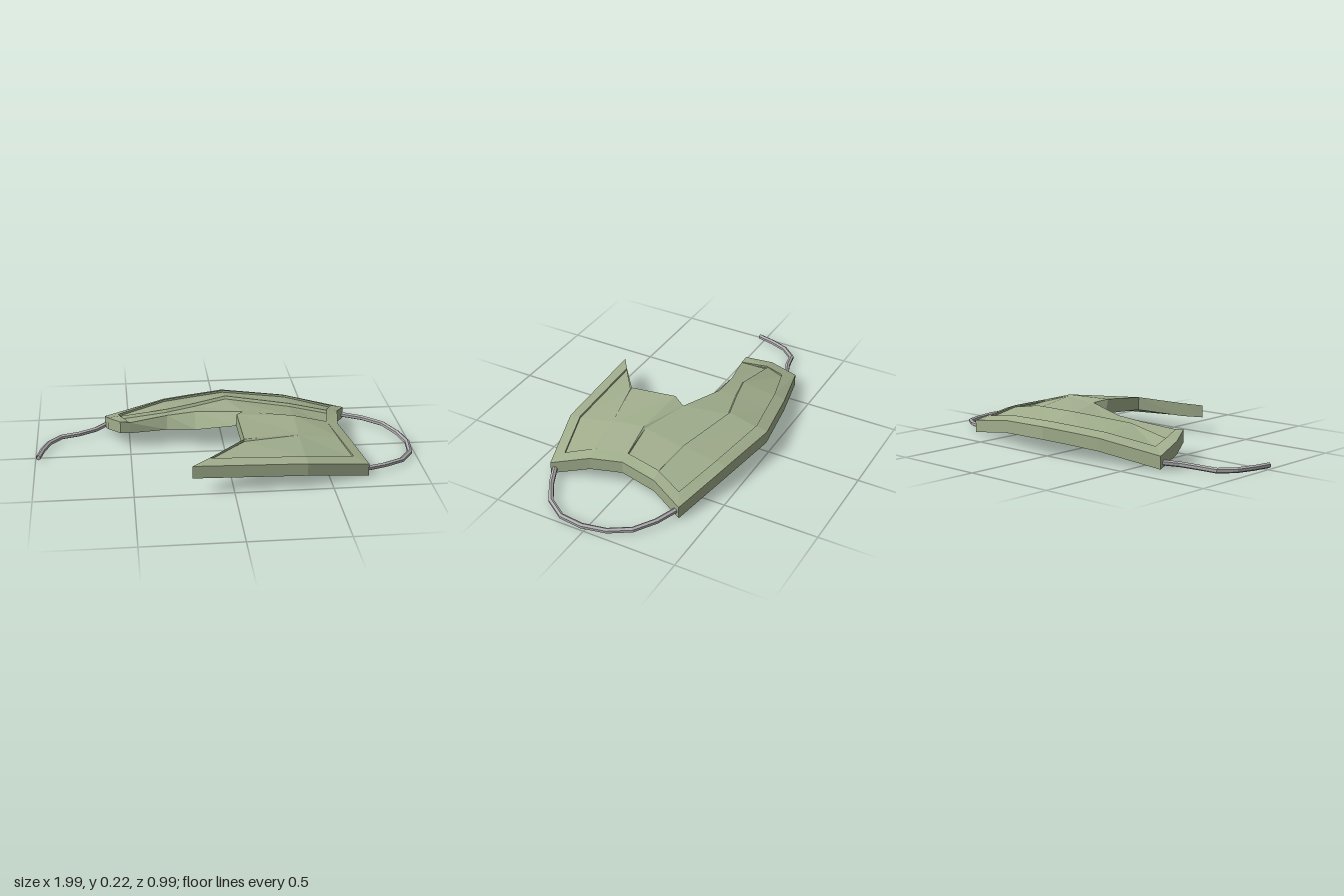
import * as THREE from 'three';

const fabric = new THREE.MeshStandardMaterial({ color: 0xa0ad8c, flatShading: true, side: THREE.DoubleSide });
fabric.name = 'sage fabric';
const elastic = new THREE.MeshStandardMaterial({ color: 0xb0aeb0, flatShading: true, side: THREE.DoubleSide });
elastic.name = 'grey elastic';

const lower = (row, d) => row.map(([x, y, z]) => [x, y - d, z]);

// Mesh made of quad strips between neighbouring cross-section rows
function loft(name, ...stacks) {
  const pos = [];
  for (const rows of stacks) {
    for (let r = 0; r < rows.length - 1; r++) {
      const a = rows[r], b = rows[r + 1];
      for (let i = 0; i < a.length - 1; i++) {
        for (const p of [a[i], b[i], b[i + 1], a[i], b[i + 1], a[i + 1]]) pos.push(...p);
      }
    }
  }
  const g = new THREE.BufferGeometry();
  g.setAttribute('position', new THREE.Float32BufferAttribute(pos, 3));
  g.computeVertexNormals();
  const m = new THREE.Mesh(g, fabric);
  m.name = name;
  return m;
}

function strap(name, pts) {
  const curve = new THREE.CatmullRomCurve3(pts.map(p => new THREE.Vector3(...p)), false, 'centripetal');
  const m = new THREE.Mesh(new THREE.TubeGeometry(curve, pts.length + 1, 0.014, 6), elastic);
  m.name = name;
  return m;
}

export function createModel() {
  const group = new THREE.Group();
  group.name = 'tornFaceMask';

  // Hem: from the torn left end, around the back and right, to the front tip
  const outer = [
    [-0.55, 0.15, -0.09], [-0.615, 0.12, -0.22], [-0.63, 0.07, -0.36],
    [-0.3, 0.125, -0.445], [-0.15, 0.135, -0.47], [0.03, 0.145, -0.5], [0.37, 0.125, -0.44], [0.7, 0.07, -0.355],
    [0.635, 0.125, -0.18], [0.6, 0.14, 0.02], [0.635, 0.125, 0.19], [0.7, 0.07, 0.385],
    [0.37, 0.13, 0.475], [-0.21, 0.15, 0.49],
  ];
  const inner = [
    [-0.5, 0.145, -0.09], [-0.55, 0.13, -0.22], [-0.555, 0.1, -0.31],
    [-0.3, 0.145, -0.385], [-0.15, 0.155, -0.41], [0.03, 0.165, -0.44], [0.37, 0.145, -0.385], [0.625, 0.1, -0.315],
    [0.575, 0.145, -0.17], [0.54, 0.155, 0.02], [0.57, 0.145, 0.19], [0.625, 0.1, 0.345],
    [0.37, 0.143, 0.415], [-0.12, 0.16, 0.425],
  ];
  const outerLow = lower(outer, 0.066);
  const innerLow = lower(inner, 0.012);
  group.add(loft('hem', [outerLow, outer, inner, innerLow]));

  // Back panel with one folded pleat
  const pleatTop = [
    [-0.55, 0.125, -0.225], [-0.3, 0.165, -0.2], [-0.15, 0.178, -0.235],
    [0.03, 0.195, -0.285], [0.37, 0.172, -0.2], [0.575, 0.135, -0.17],
  ];
  const pleatFold = pleatTop.map(([x, y, z]) => [x, y - 0.014, z + 0.01]);
  const backEdge = [
    [-0.5, 0.143, -0.09], [-0.3, 0.162, -0.125], [-0.15, 0.175, -0.13],
    [0.1, 0.2, -0.05], [0.36, 0.195, 0.025], [0.54, 0.145, 0.02],
  ];
  group.add(loft('backPanel', [innerLow.slice(2, 8), pleatTop, pleatFold, backEdge]));

  // Front panel, from the crest down to the front hem
  const crest = [[0.06, 0.215, 0.02], [0.36, 0.203, 0.035], [0.54, 0.155, 0.022]];
  const frontPleat = [[0.07, 0.19, 0.28], [0.36, 0.176, 0.21], [0.57, 0.14, 0.19]];
  const frontFold = frontPleat.map(([x, y, z], i) => [x, y - 0.005 * (2 - i), z + 0.008]);
  const frontRow = innerLow.slice(11, 14).reverse();
  group.add(loft('frontPanel', [backEdge.slice(3), crest, frontPleat, frontFold, frontRow]));

  // Cut thickness along the tear
  const tearTop = [
    outer[13], inner[13], frontPleat[0], crest[0], backEdge[3],
    backEdge[2], backEdge[1], backEdge[0], outer[0],
  ];
  const tearLow = [
    outerLow[13], [-0.12, 0.09, 0.42], [0.07, 0.12, 0.28], [0.06, 0.14, 0], [0.06, 0.14, 0],
    [-0.15, 0.1, -0.06], [-0.3, 0.09, -0.1], [-0.5, 0.082, -0.09], outerLow[0],
  ];
  group.add(loft('tornEdge', [tearLow, tearTop]));

  // Underside lining
  const mid = lower(pleatTop, 0.07);
  mid[0] = outerLow[1];
  mid[5] = outerLow[8];
  const tearRow = [outerLow[0], tearLow[6], tearLow[5], tearLow[4], [0.36, 0.13, 0.03], outerLow[9]];
  const frontMid = [tearLow[2], [0.36, 0.106, 0.21], outerLow[10]];
  group.add(loft('lining',
    [tearRow, mid, outerLow.slice(2, 8)],
    [outerLow.slice(11, 14).reverse(), frontMid, tearRow.slice(3)]));

  // Ear loops: one whole, one snapped
  group.add(strap('leftEarLoop', [
    [0.68, 0.037, -0.335], [0.87, 0.025, -0.245], [0.955, 0.014, -0.11], [0.984, 0.014, 0.045],
    [0.955, 0.014, 0.18], [0.87, 0.022, 0.275], [0.68, 0.037, 0.37],
  ]));
  group.add(strap('brokenRightEarLoop', [
    [-0.61, 0.035, -0.345], [-0.72, 0.022, -0.26], [-0.865, 0.014, -0.23], [-0.94, 0.014, -0.14], [-0.986, 0.015, 0.03],
  ]));
  return group;
}
